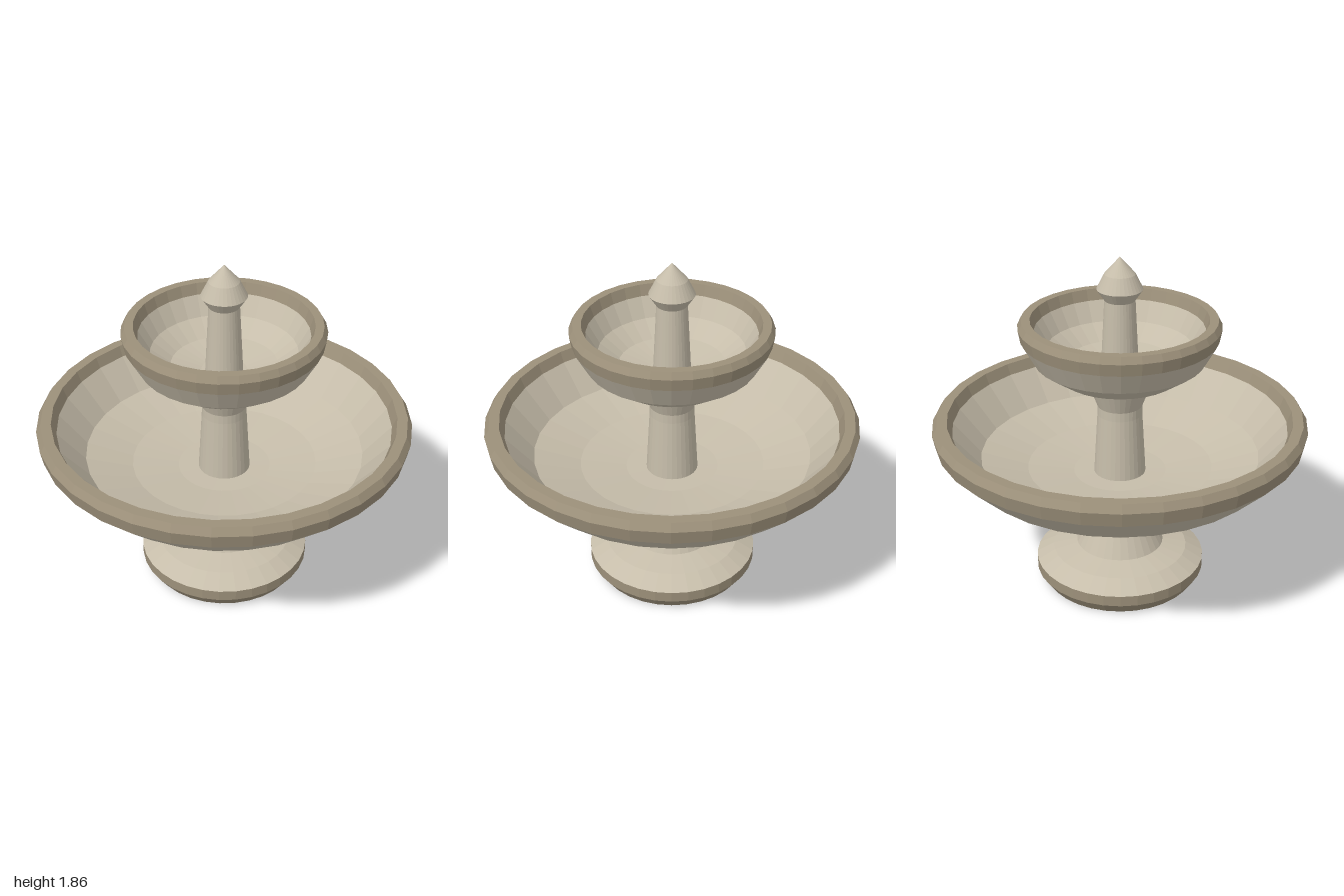
import * as THREE from 'three';

const SIDES = 32;
const stone = new THREE.MeshStandardMaterial({ color: 0xc6bdaa, flatShading: true });
const trim = new THREE.MeshStandardMaterial({ color: 0x9c907a, flatShading: true });

// Turned part: profile given as [radius, height], outside upwards, inside downwards
function turned(name, material, profile) {
  const points = profile.map(([r, y]) => new THREE.Vector2(r, y));
  const mesh = new THREE.Mesh(new THREE.LatheGeometry(points, SIDES), material);
  mesh.name = name;
  return mesh;
}

// Bowl made of an outer shell, a darker rim and an inner basin
function bowl(name, outer, rim, inner) {
  const group = new THREE.Group();
  group.name = name;
  group.add(
    turned(name + 'Shell', stone, [...outer, rim[0]]),
    turned(name + 'Rim', trim, rim),
    turned(name + 'Basin', stone, [rim[rim.length - 1], ...inner])
  );
  return group;
}

export function createModel() {
  const fountain = new THREE.Group();
  fountain.name = 'fountain';

  // Foot and pedestal
  fountain.add(
    turned('plinth', trim, [[0, 0], [0.42, 0], [0.465, 0.065], [0.465, 0.125]]),
    turned('pedestal', stone, [
      [0.465, 0.125], [0.37, 0.18], [0.24, 0.21], [0.185, 0.32], [0.14, 0.56]
    ])
  );

  // Large lower bowl
  fountain.add(bowl('lowerBowl',
    [[0, 0.55], [0.14, 0.555], [0.565, 0.62], [0.82, 0.715]],
    [[0.985, 0.875], [1, 0.95], [0.975, 0.99], [0.92, 0.99], [0.895, 0.93]],
    [[0.75, 0.755], [0.5, 0.68], [0.25, 0.65], [0, 0.645]]
  ));

  // Column between the bowls, flaring under the upper one
  fountain.add(turned('column', stone, [
    [0.14, 0.64], [0.12, 0.99], [0.12, 1.04], [0.17, 1.175]
  ]));

  // Small upper bowl
  fountain.add(bowl('upperBowl',
    [[0, 1.165], [0.17, 1.17], [0.32, 1.217], [0.45, 1.308]],
    [[0.518, 1.43], [0.53, 1.495], [0.51, 1.53], [0.465, 1.53], [0.445, 1.47]],
    [[0.385, 1.365], [0.28, 1.29], [0.12, 1.255], [0, 1.25]]
  ));

  // Spout and pointed finial
  fountain.add(
    turned('spout', stone, [[0.1, 1.24], [0.08, 1.635]]),
    turned('finial', stone, [[0, 1.63], [0.08, 1.63], [0.12, 1.69], [0.08, 1.77], [0, 1.86]])
  );

  return fountain;
}
